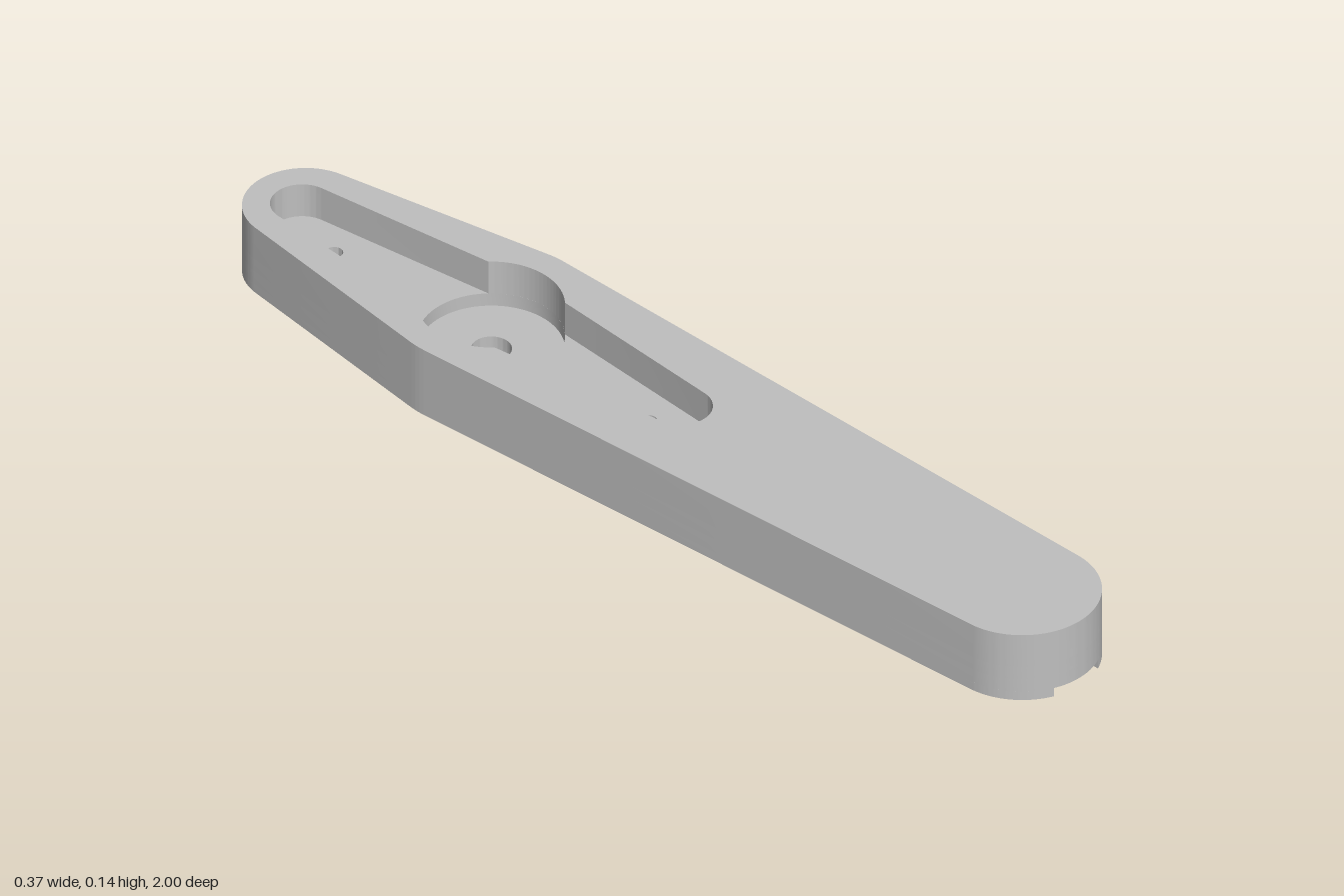
import * as THREE from 'three';
import { toCreasedNormals } from 'three/addons/utils/BufferGeometryUtils.js';

// Plan coordinates: x is the model's x, v points to the back (v = -z).
const PI = Math.PI;
const FRONT = { v: -0.857, r: 0.143 };
const HUB = { v: 0.434, r: 0.185 };
const BACK = { v: 0.886, r: 0.114 };
const HUB_POCKET_R = 0.132;

// Rounded lever outline: three circles joined by tangent lines, optional notch in the front end
function outline(withNotch) {
  const s1 = Math.asin((HUB.r - FRONT.r) / (HUB.v - FRONT.v));
  const s2 = Math.asin((HUB.r - BACK.r) / (BACK.v - HUB.v));
  const s = new THREE.Shape();
  s.absarc(0, HUB.v, HUB.r, -s1, s2);
  s.absarc(0, BACK.v, BACK.r, s2, PI - s2);
  s.absarc(0, HUB.v, HUB.r, PI - s2, PI + s1);
  if (withNotch) {
    const half = 0.058, inner = -0.912;
    const a = Math.asin(half / FRONT.r);
    s.absarc(0, FRONT.v, FRONT.r, PI + s1, 1.5 * PI - a);
    s.lineTo(-half, inner);
    s.lineTo(half, inner);
    s.absarc(0, FRONT.v, FRONT.r, 1.5 * PI + a, 2 * PI - s1);
  } else {
    s.absarc(0, FRONT.v, FRONT.r, PI + s1, 2 * PI - s1);
  }
  return s;
}

function circle(v, r) {
  return new THREE.Path().absarc(0, v, r, 0, 2 * PI);
}

// Two tapered arms running out of a round hub
function armPocket() {
  const reach = 0.46, r = 0.058, t = 0.095, q = PI / 4;
  const p = new THREE.Path();
  p.absarc(0, HUB.v + reach, r, t, PI - t);
  p.absarc(0, HUB.v, HUB_POCKET_R, PI - q, PI + q);
  p.absarc(0, HUB.v - reach, r, PI + t, 2 * PI - t);
  p.absarc(0, HUB.v, HUB_POCKET_R, -q, q);
  p.closePath();
  return p;
}

export function createModel() {
  const group = new THREE.Group();
  group.name = 'lever';
  const grey = new THREE.MeshStandardMaterial({ color: 0xbfbfbf });
  grey.name = 'grey';

  // Each layer is the outline with the openings found at that height
  function layer(name, y0, y1, holes, withNotch = false) {
    const shape = outline(withNotch);
    shape.holes.push(...holes);
    let geo = new THREE.ExtrudeGeometry(shape, { depth: y1 - y0, bevelEnabled: false, curveSegments: 32 });
    geo.rotateX(-PI / 2);
    geo.translate(0, y0, 0);
    geo = toCreasedNormals(geo, 0.5);
    const mesh = new THREE.Mesh(geo, grey);
    mesh.name = name;
    group.add(mesh);
  }

  const bore = () => circle(HUB.v, 0.037);
  const pins = [-1, 1].map((side) => circle(HUB.v + side * 0.382, 0.016));

  layer('notchedBase', 0, 0.018, [bore()], true);
  layer('hubFloor', 0.018, 0.046, [bore()]);
  layer('armFloor', 0.046, 0.073, [circle(HUB.v, HUB_POCKET_R), ...pins]);
  layer('pocketRim', 0.073, 0.143, [armPocket()]);
  return group;
}
